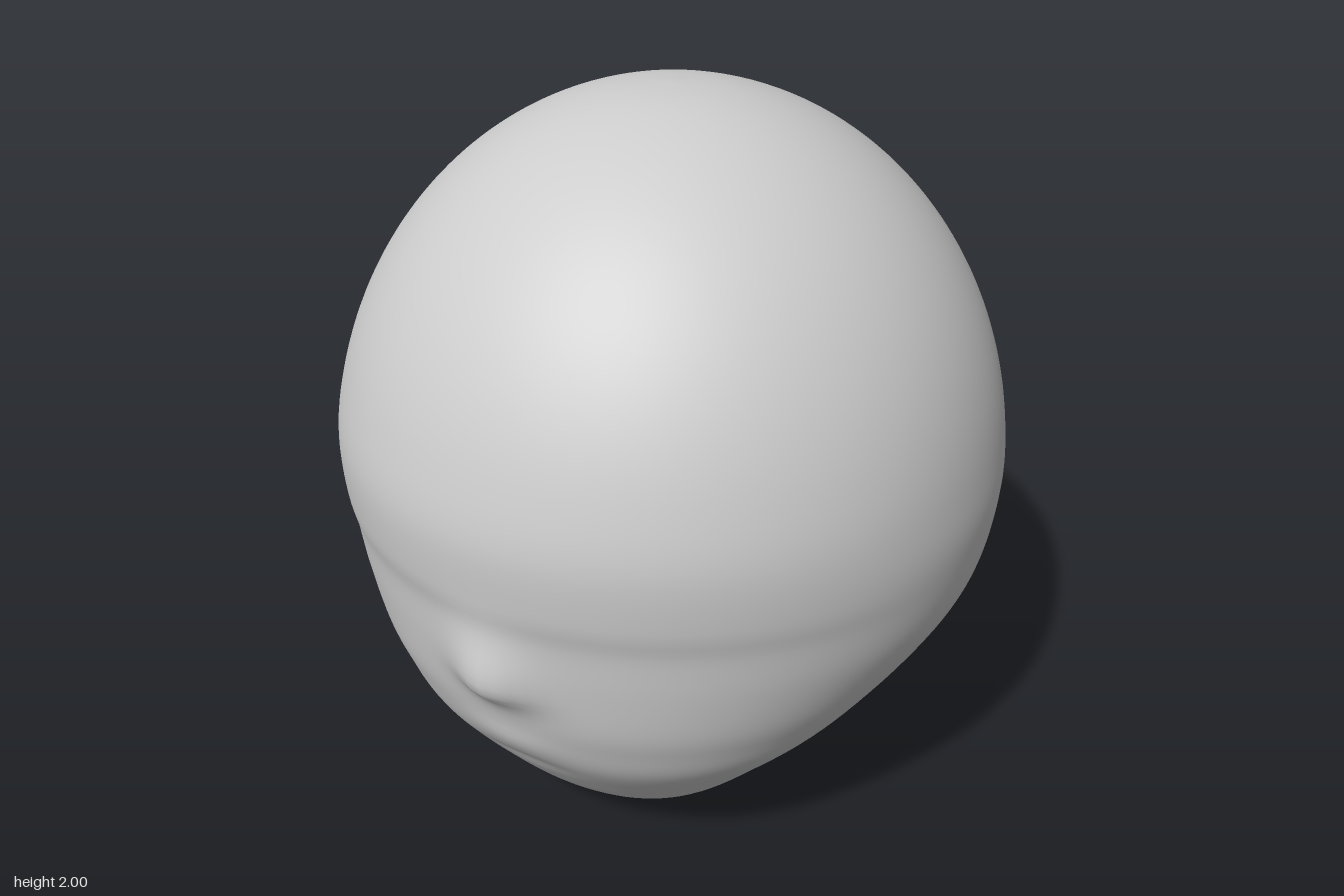
import * as THREE from 'three';
import { mergeVertices } from 'three/addons/utils/BufferGeometryUtils.js';

const CENTER = 0.97;

// Turns a half outline of [radius, y] points into distance from the centre by polar angle.
function outline(width, lower) {
  const pts = [];
  for (let i = 0; i < 10; i++) {
    const a = (i / 10) * Math.PI / 2;
    pts.push(new THREE.Vector2(width * Math.sin(a), CENTER + 1.03 * Math.cos(a)));
  }
  for (const [r, y] of lower) pts.push(new THREE.Vector2(r, y));
  const polar = new THREE.SplineCurve(pts).getPoints(400).map((p) => ({
    angle: Math.atan2(Math.max(p.x, 0), p.y - CENTER),
    dist: Math.hypot(p.x, p.y - CENTER),
  }));
  return (angle) => {
    let i = 1;
    while (i < polar.length - 1 && polar[i].angle < angle) i++;
    const a = polar[i - 1], b = polar[i];
    const t = THREE.MathUtils.clamp((angle - a.angle) / (b.angle - a.angle || 1), 0, 1);
    return a.dist + (b.dist - a.dist) * t;
  };
}

const front = outline(0.93, [[0.913, 0.97], [0.895, 0.88], [0.882, 0.75], [0.862, 0.61], [0.835, 0.52],
  [0.795, 0.42], [0.71, 0.3], [0.59, 0.155], [0.455, 0.055], [0.34, 0.016], [0.235, 0], [0.09, 0.025], [0, 0.03]]);
const back = outline(0.932, [[0.932, 0.97], [0.91, 0.75], [0.81, 0.49], [0.7, 0.32], [0.58, 0.19],
  [0.44, 0.08], [0.33, 0.025], [0.225, 0], [0.09, 0.025], [0, 0.03]]);
const side = outline(0.92, [[0.92, 0.97], [0.89, 0.77], [0.81, 0.6], [0.7, 0.45], [0.57, 0.335],
  [0.43, 0.24], [0.28, 0.17], [0.12, 0.075], [0, 0.03]]);

// Soft bump with separate spreads above and below its middle
const bump = (x, y, cy, sx, up, down) =>
  Math.exp(-((x / sx) ** 2) - ((y - cy) / (y > cy ? up : down)) ** 2);

function headGeometry() {
  let geo = new THREE.SphereGeometry(1, 144, 120);
  const pos = geo.attributes.position;
  const v = new THREE.Vector3();
  for (let i = 0; i < pos.count; i++) {
    v.fromBufferAttribute(pos, i);
    const flat = Math.hypot(v.x, v.z);
    const angle = Math.atan2(flat, v.y);
    const c = flat > 1e-5 ? v.z / flat : 0;
    // Blend the front, back and side outlines around the head
    const sideWeight = (1 - c * c) ** 2;
    const frontWeight = THREE.MathUtils.smoothstep(c, -0.6, 0.6);
    const ends = THREE.MathUtils.lerp(back(angle), front(angle), frontWeight);
    v.multiplyScalar(THREE.MathUtils.lerp(ends, side(angle), sideWeight));
    v.y += CENTER;
    // Nose, upper lip and the hollow below the mouth
    if (v.z > 0.3) {
      v.z += 0.056 * bump(v.x, v.y, 0.72, 0.11, 0.13, 0.065)
        + 0.012 * bump(v.x, v.y, 0.5, 0.14, 0.045, 0.05)
        - 0.01 * bump(v.x, v.y, 0.385, 0.12, 0.035, 0.04);
    }
    pos.setXYZ(i, v.x, v.y, v.z);
  }
  // Weld the seam and poles for smooth normals
  geo.deleteAttribute('uv');
  geo.deleteAttribute('normal');
  geo = mergeVertices(geo, 1e-5);
  geo.computeVertexNormals();
  return geo;
}

export function createModel() {
  const group = new THREE.Group();
  group.name = 'headModel';
  const grey = new THREE.MeshStandardMaterial({ color: 0xcccccc });
  grey.name = 'light grey';
  const head = new THREE.Mesh(headGeometry(), grey);
  head.name = 'head';
  group.add(head);
  return group;
}
